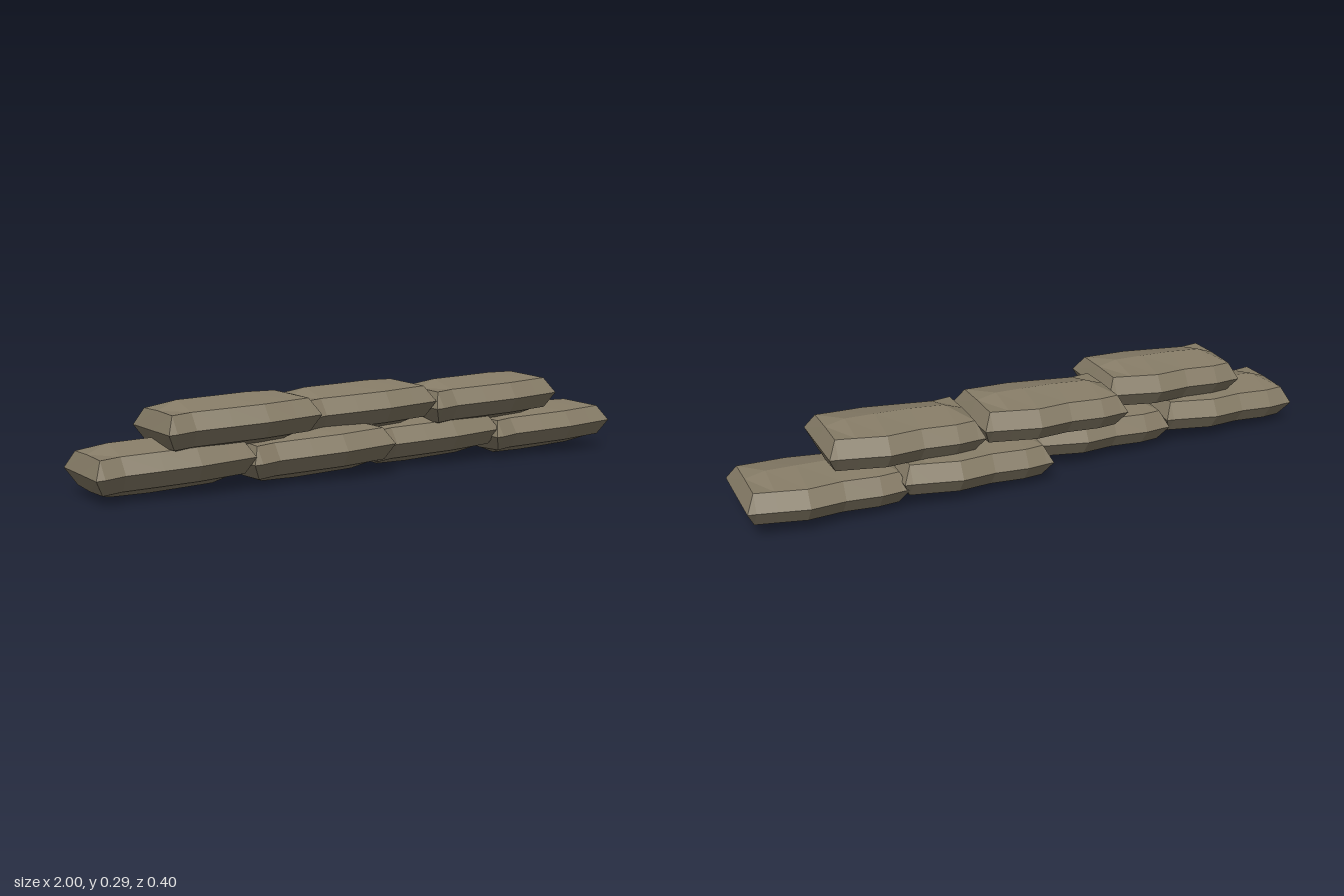
import * as THREE from 'three';

// Stations along the bag: x, front z, back z, crown height, belly depth (0 = pinched end)
const STATIONS = [
  [-0.255, 0.138, -0.140, 0, 0],
  [-0.228, 0.140, -0.142, 0.055, 0.056],
  [-0.160, 0.124, -0.153, 0.079, 0.085],
  [-0.045, 0.136, -0.148, 0.079, 0.089],
  [0.070, 0.147, -0.164, 0.078, 0.090],
  [0.165, 0.141, -0.148, 0.073, 0.089],
  [0.228, 0.138, -0.138, 0.054, 0.057],
  [0.255, 0.136, -0.136, 0, 0],
];
const INSET = 0.035, SHOULDER = 0.052;

// Faceted sandbag lofted from eight-sided cross-sections
function sandbagGeometry() {
  const pos = [], index = [], n = 8, last = STATIONS.length - 1;
  STATIONS.forEach(([x, f, b, top, low], i) => {
    const end = i === 0 || i === last;
    const inset = end ? 0 : INSET, s = end ? 0 : SHOULDER;
    const mid = (f + b) / 2;
    const loop = [
      [0, f], [s, f - inset], [top, mid], [s, b + inset],
      [0, b], [-s, b + inset], [-low, mid], [-s, f - inset],
    ];
    loop.forEach(([y, z]) => pos.push(x, y, z));
  });
  for (let i = 0; i < last; i++) {
    for (let k = 0; k < n; k++) {
      const a = i * n + k, b = i * n + (k + 1) % n;
      index.push(a, a + n, b, b, a + n, b + n);
    }
  }
  const g = new THREE.BufferGeometry();
  g.setAttribute('position', new THREE.Float32BufferAttribute(pos, 3));
  g.setIndex(index);
  g.computeVertexNormals();
  return g;
}

export function createModel() {
  const model = new THREE.Group();
  model.name = 'sandbagWall';
  const geometry = sandbagGeometry();
  const material = new THREE.MeshStandardMaterial({ color: 0x857b66, flatShading: true });

  // Two staggered courses: height of the bag centres, then x and z of each bag
  const courses = [
    ['lowerSandbag', 0.094, [[-0.733, -0.035], [-0.235, 0.013], [0.25, -0.022], [0.732, 0.040]]],
    ['upperSandbag', 0.212, [[-0.525, 0.013], [-0.03, -0.030], [0.47, 0.028]]],
  ];
  for (const [name, y, bags] of courses) {
    bags.forEach(([x, z], i) => {
      const bag = new THREE.Mesh(geometry, material);
      bag.name = name + (i + 1);
      bag.position.set(x, y, z);
      bag.rotation.set(0, -0.09, 0.05);
      model.add(bag);
    });
  }
  return model;
}
